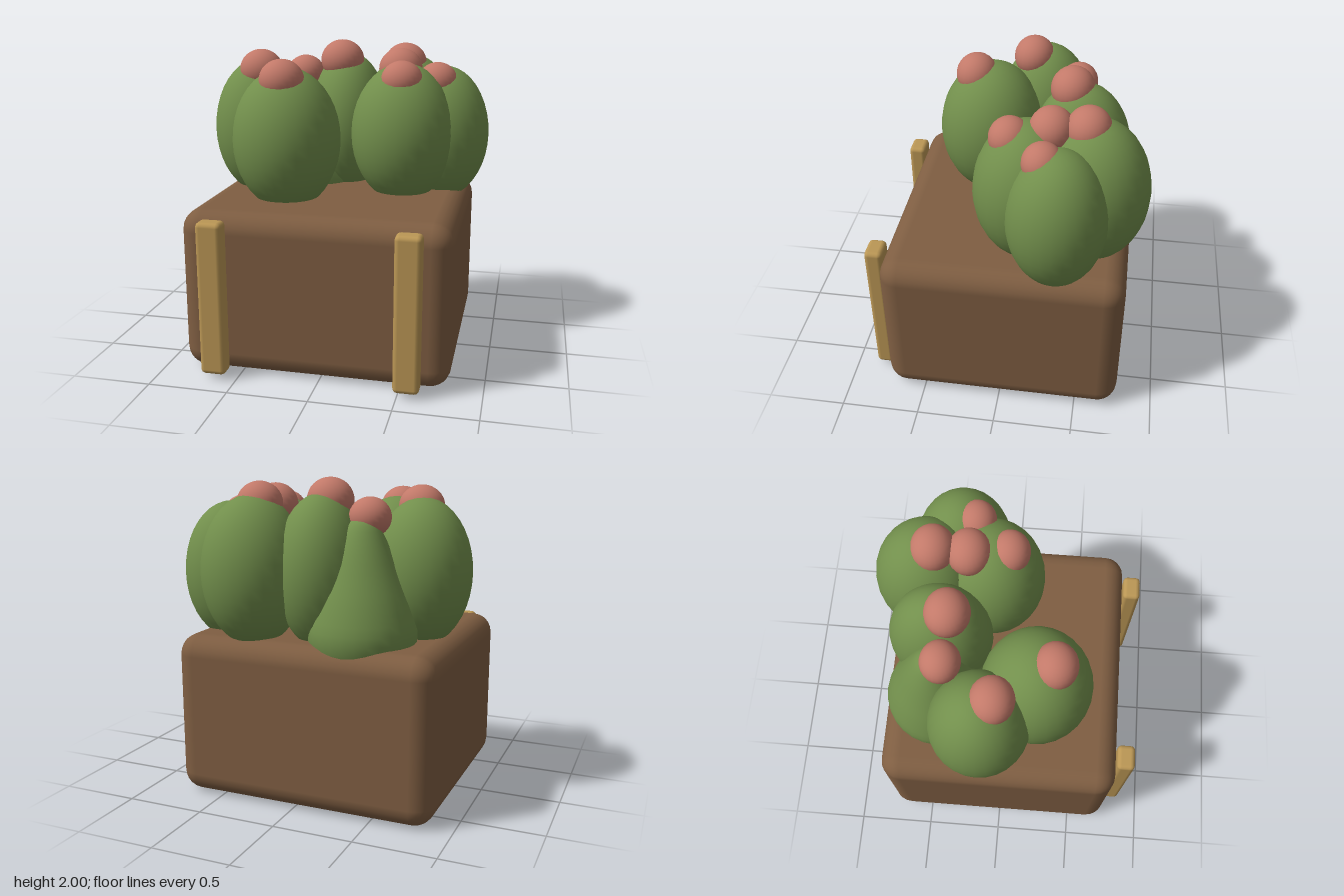
import * as THREE from 'three';
import { RoundedBoxGeometry } from 'three/addons/geometries/RoundedBoxGeometry.js';

const material = (color) => new THREE.MeshStandardMaterial({ color });

export function createModel() {
  const model = new THREE.Group();
  const brown = material(0x7f5e42);
  const tan = material(0xbb9755);
  const green = material(0x728f4c);
  const pink = material(0xc27969);

  const add = (name, geometry, mat, position, scale = [1, 1, 1]) => {
    const mesh = new THREE.Mesh(geometry, mat);
    mesh.name = name;
    mesh.position.set(...position);
    mesh.scale.set(...scale);
    model.add(mesh);
    return mesh;
  };

  // Planter box with soft edges
  add('planter', new RoundedBoxGeometry(1.68, 1.03, 1.52, 3, 0.13), brown, [-0.04, 0.515, -0.01]);

  // Two upright slats on the front
  const slat = new RoundedBoxGeometry(0.16, 0.97, 0.115, 2, 0.03);
  for (const [name, x] of [['rightSlat', -0.64], ['leftSlat', 0.555]]) {
    add(name, slat, tan, [x, 0.518, 0.807]);
  }

  // Rounded cactus stems: centre, then half sizes
  const ball = new THREE.SphereGeometry(1, 28, 20);
  const stems = [
    ['rightStem', [-0.61, 1.42, -0.13], [0.31, 0.46, 0.31]],
    ['frontStem', [-0.337, 1.4, 0.197], [0.347, 0.46, 0.345]],
    ['middleStem', [-0.06, 1.43, -0.41], [0.275, 0.48, 0.32]],
    ['frontLeftStem', [0.365, 1.41, -0.13], [0.34, 0.46, 0.335]],
    ['leftStem', [0.605, 1.39, -0.33], [0.31, 0.45, 0.305]],
    ['backStem', [0.345, 1.43, -0.53], [0.325, 0.47, 0.335]],
  ];
  for (const [name, centre, size] of stems) add(name, ball, green, centre, size);

  // Pear-shaped stem at the back, narrowing to its flower
  const profile = new THREE.SplineCurve([
    [0, 0.8], [0.25, 0.87], [0.335, 1.05], [0.3, 1.24],
    [0.225, 1.44], [0.15, 1.62], [0.08, 1.74], [0, 1.77],
  ].map(([r, y]) => new THREE.Vector2(r, y))).getPoints(24);
  profile.forEach((p) => { p.x = Math.max(p.x, 0); });
  add('pearStem', new THREE.LatheGeometry(profile, 28), green, [-0.33, 0, -0.42]);

  // Flower buds: x, top height, z, radius
  const buds = [
    [-0.575, 1.95, -0.05, 0.143],
    [-0.335, 1.92, 0.295, 0.143],
    [-0.355, 1.89, -0.365, 0.13],
    [-0.09, 2.0, -0.345, 0.147],
    [0.325, 1.975, -0.475, 0.145],
    [0.325, 1.955, -0.26, 0.145],
    [0.37, 1.895, -0.02, 0.135],
    [0.575, 1.87, -0.235, 0.13],
  ];
  const bud = new THREE.SphereGeometry(1, 24, 16);
  buds.forEach(([x, top, z, r], i) => {
    add(`flowerBud${i + 1}`, bud, pink, [x, top - r * 0.93, z], [r, r * 0.93, r * 0.93]);
  });

  return model;
}
